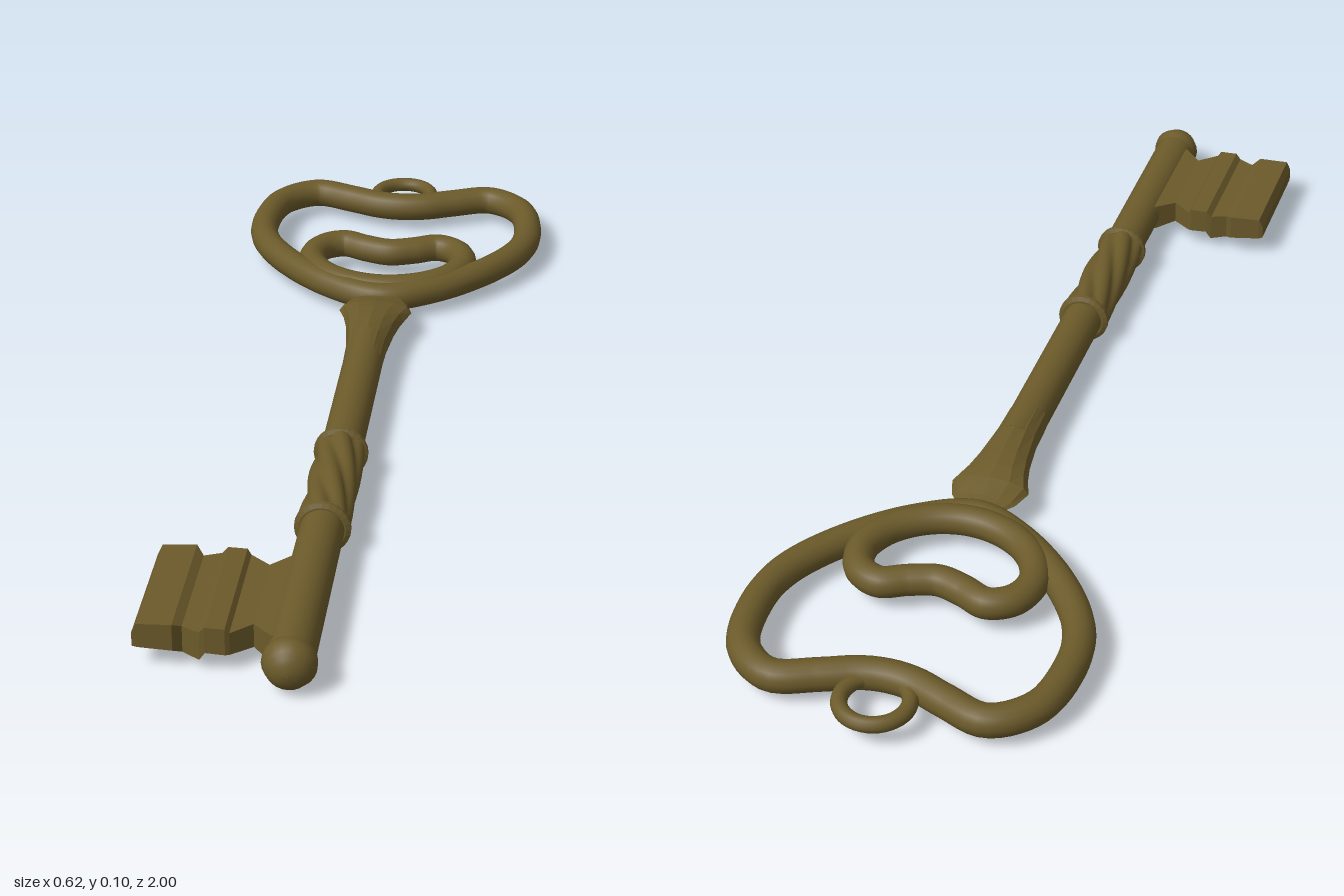
import * as THREE from 'three';

const brass = new THREE.MeshStandardMaterial({ color: 0x6b5a2a });
const brassFlat = new THREE.MeshStandardMaterial({ color: 0x6b5a2a, flatShading: true });
const AXIS_Y = 0.055;

// Skin a list of equal-length rings of [x, y, z], with both ends capped
function loft(rings) {
  const n = rings[0].length, last = rings.length - 1;
  const pos = rings.flat(2), idx = [];
  for (let i = 0; i < last; i++) {
    for (let j = 0; j < n; j++) {
      const a = i * n + j, b = i * n + (j + 1) % n;
      idx.push(a, b, b + n, a, b + n, a + n);
    }
  }
  for (const end of [0, last]) {
    const base = pos.length / 3;
    const centre = [0, 1, 2].map(k => rings[end].reduce((s, p) => s + p[k], 0) / n);
    pos.push(...rings[end].flat(), ...centre);
    for (let j = 0; j < n; j++) {
      const a = base + j, b = base + (j + 1) % n;
      idx.push(base + n, end ? a : b, end ? b : a);
    }
  }
  const g = new THREE.BufferGeometry();
  g.setAttribute('position', new THREE.Float32BufferAttribute(pos, 3));
  g.setIndex(idx);
  g.computeVertexNormals();
  return g;
}

// Ring around the shaft axis; radii may depend on the angle
function shaftRing(z, rx, ry = rx, n = 24, lobe = () => 1) {
  return Array.from({ length: n }, (_, j) => {
    const a = j / n * Math.PI * 2;
    return [rx * lobe(a) * Math.cos(a), AXIS_Y + ry * lobe(a) * Math.sin(a), z];
  });
}

// Closed heart-shaped tube from the [x, z] points of its +x half
function heart(half, radius, y) {
  const mirrored = half.slice(1, -1).reverse().map(([x, z]) => [-x, z]);
  const pts = [...half, ...mirrored].map(([x, z]) => new THREE.Vector3(x, y, z));
  const curve = new THREE.CatmullRomCurve3(pts, true, 'centripetal');
  return new THREE.TubeGeometry(curve, 120, radius, 16, true);
}

export function createModel() {
  const key = new THREE.Group();
  key.name = 'key';
  const add = (name, geometry, material = brass) => {
    const mesh = new THREE.Mesh(geometry, material);
    mesh.name = name;
    key.add(mesh);
    return mesh;
  };

  // Bow: two nested hearts and a hanging ring
  add('outerHeart', heart([
    [0, -0.405], [0.1, -0.45], [0.205, -0.55], [0.268, -0.655], [0.282, -0.75],
    [0.258, -0.865], [0.19, -0.918], [0.11, -0.893], [0.05, -0.869], [0, -0.862],
  ], 0.029, 0.05));
  add('innerHeart', heart([
    [0, -0.432], [0.075, -0.45], [0.135, -0.5], [0.158, -0.565],
    [0.14, -0.62], [0.098, -0.642], [0.05, -0.622], [0, -0.608],
  ], 0.028, 0.057));
  const ring = add('hangingRing', new THREE.TorusGeometry(0.059, 0.0145, 12, 40));
  ring.rotation.x = Math.PI / 2;
  ring.position.set(0, 0.05, -0.927);

  // Neck: flattened flare blending into the round shaft, [z, half width, half height]
  add('neck', loft([
    [-0.385, 0.045, 0.008], [-0.365, 0.06, 0.012], [-0.325, 0.073, 0.024],
    [-0.29, 0.06, 0.03], [-0.25, 0.051, 0.034], [-0.17, 0.041, 0.038], [-0.1, 0.039, 0.038],
  ].map(([z, rx, ry]) => shaftRing(z, rx, ry, 12))), brassFlat);

  // Shaft with a beaded, rounded tip, [z, radius]
  add('shaft', loft([
    [-0.18, 0.038], [0.25, 0.038], [0.55, 0.039], [0.948, 0.04],
  ].map(([z, r]) => shaftRing(z, r))));
  add('tip', loft([
    [0.93, 0.038], [0.945, 0.04], [0.952, 0.045], [0.965, 0.046], [0.973, 0.042],
    [0.984, 0.037], [0.993, 0.027], [0.998, 0.015], [1, 0.004],
  ].map(([z, r]) => shaftRing(z, r))));

  // Twisted grip of six strands
  const twist = [];
  for (let i = 0; i <= 28; i++) {
    const t = i / 28;
    const lobe = a => 0.82 + 0.18 * Math.abs(Math.sin(3 * (a + 2 * t)));
    twist.push(shaftRing(0.262 + 0.27 * t, 0.047, 0.047, 60, lobe));
  }
  add('twistedGrip', loft(twist));

  // Collars at both ends of the grip
  for (const z of [0.262, 0.533]) {
    const collar = [[-0.008, 0.042], [-0.004, 0.05], [0.004, 0.05], [0.008, 0.042]];
    add('collar', loft(collar.map(([d, r]) => shaftRing(z + d, r))), brassFlat);
  }

  // Bit: ridged blade, columns of [x, bottom, top, back z, front z]
  add('bit', loft([
    [-0.263, 0.045, 0.07, 0.677, 0.925], [-0.255, 0.043, 0.087, 0.674, 0.925],
    [-0.197, 0.038, 0.087, 0.668, 0.922], [-0.183, 0.028, 0.077, 0.686, 0.908],
    [-0.153, 0.025, 0.077, 0.674, 0.924], [-0.143, 0.04, 0.088, 0.672, 0.926],
    [-0.11, 0.038, 0.087, 0.672, 0.926], [-0.103, 0.037, 0.078, 0.676, 0.922],
    [-0.068, 0.034, 0.078, 0.705, 0.89], [-0.034, 0.028, 0.08, 0.674, 0.925],
    [0, 0.03, 0.08, 0.674, 0.925],
  ].map(([x, y0, y1, z0, z1]) => [[x, y0, z0], [x, y1, z0], [x, y1, z1], [x, y0, z1]])), brassFlat);

  // Rest the collars on the ground
  key.children.forEach(m => { m.position.y -= 0.003; });
  return key;
}
